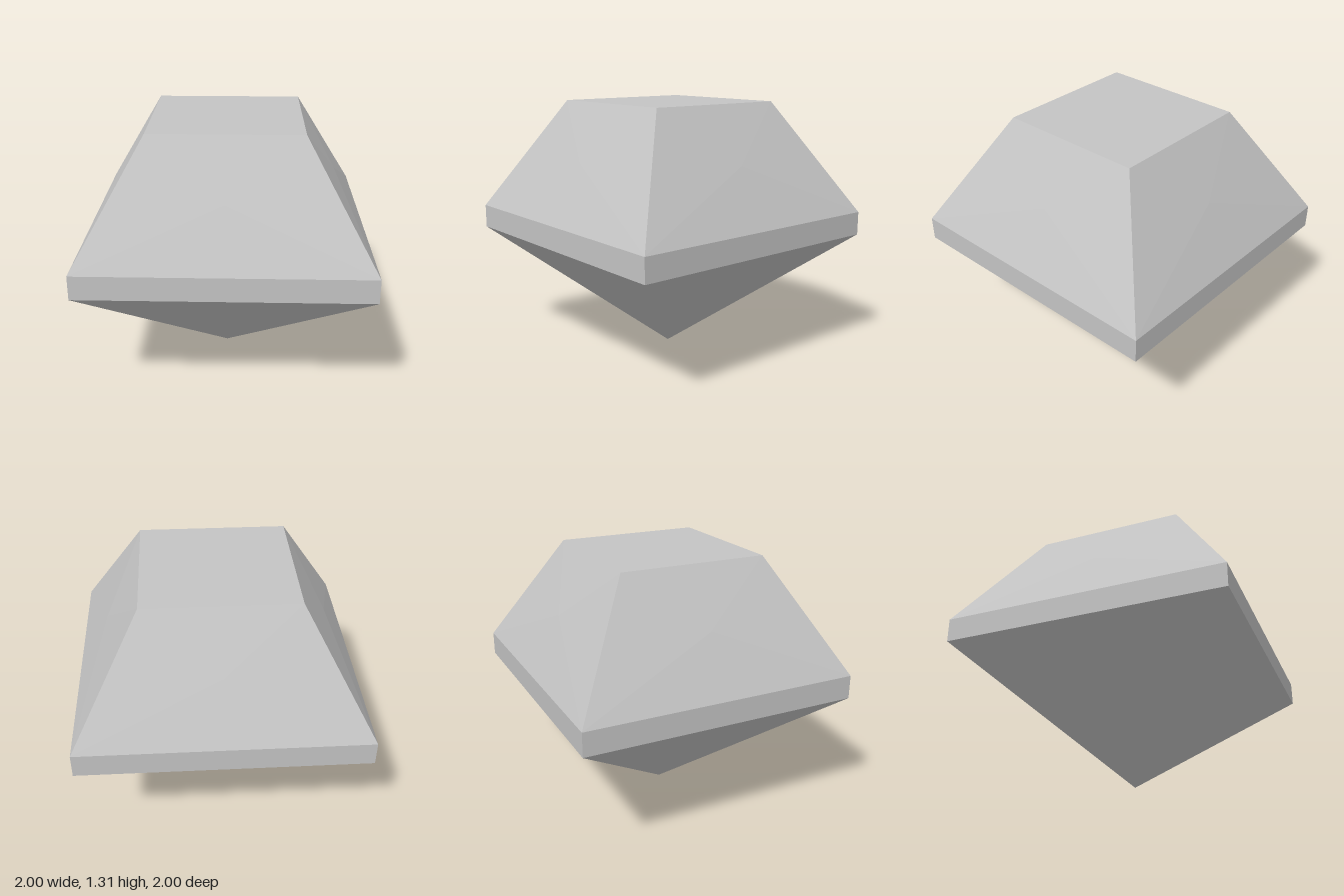
import * as THREE from 'three';

const GIRDLE_LOW = 0.62, GIRDLE_HIGH = 0.74, TOP = 1.31, TABLE_RADIUS = 0.53;

// Point on the square outline: corner i of four, at radius r and height y
function corner(i, r, y) {
  const t = i * Math.PI / 2;
  return new THREE.Vector3(r * Math.sin(t), y, r * Math.cos(t));
}

// Four sloping sides, each a fan of facets around a very slightly raised centre
function crownGeometry(bulge) {
  const points = [];
  for (let i = 0; i < 4; i++) {
    const ring = [
      corner(i, 1, GIRDLE_HIGH), corner(i + 1, 1, GIRDLE_HIGH),
      corner(i + 1, TABLE_RADIUS, TOP), corner(i, TABLE_RADIUS, TOP),
    ];
    const normal = ring[1].clone().sub(ring[0]).cross(ring[3].clone().sub(ring[0])).normalize();
    const centre = new THREE.Vector3();
    ring.forEach(p => centre.addScaledVector(p, 0.25));
    centre.addScaledVector(normal, bulge);
    ring.forEach((p, k) => points.push(p, ring[(k + 1) % 4], centre));
  }
  const geometry = new THREE.BufferGeometry().setFromPoints(points);
  geometry.computeVertexNormals();
  return geometry;
}

export function createModel() {
  const gem = new THREE.Group();
  gem.name = 'gem';
  const stone = new THREE.MeshStandardMaterial({ color: 0xc4c4c4, flatShading: true });
  stone.name = 'pale grey stone';

  function add(name, geometry, y = 0) {
    const mesh = new THREE.Mesh(geometry, stone);
    mesh.name = name;
    mesh.position.y = y;
    gem.add(mesh);
  }

  // Pointed underside
  add('pavilion', new THREE.CylinderGeometry(1, 0, GIRDLE_LOW, 4, 1, true), GIRDLE_LOW / 2);

  // Upright band around the widest part
  add('girdle', new THREE.CylinderGeometry(1, 1, GIRDLE_HIGH - GIRDLE_LOW, 4, 1, true),
    (GIRDLE_LOW + GIRDLE_HIGH) / 2);

  // Sloping upper sides
  add('crown', crownGeometry(0.008));

  // Flat top
  add('table', new THREE.CircleGeometry(TABLE_RADIUS, 4).rotateX(-Math.PI / 2), TOP);

  return gem;
}
